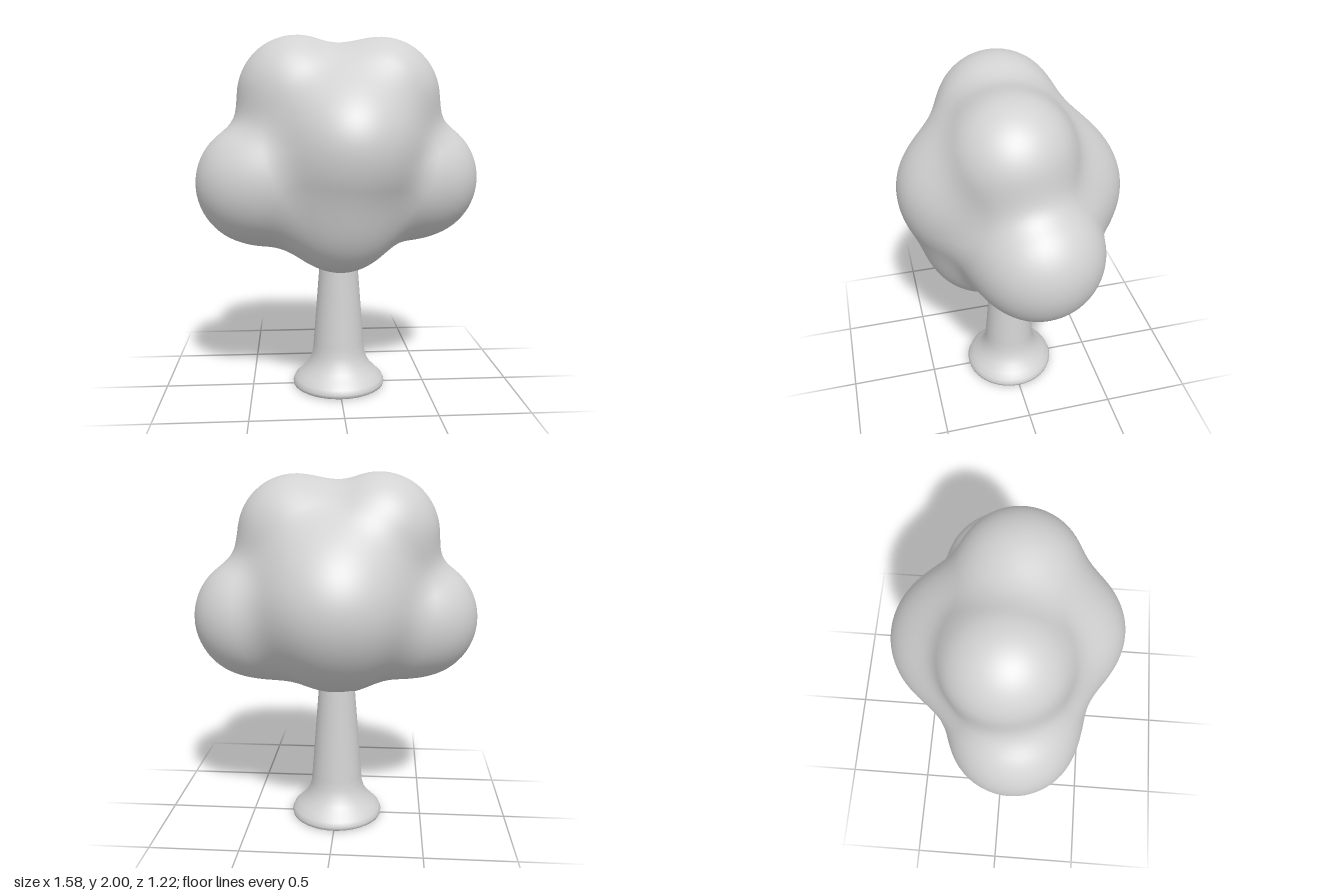
import * as THREE from 'three';

// Crown lobes: x, y, z, radius
const LOBES = [
  // inner mass that fills the valleys
  [0, 1.35, 0, 0.44],
  [0, 1.22, 0.2, 0.32],
  [0, 1.52, 0.13, 0.29],
  [0, 1.5, -0.12, 0.27],
  [0, 1.14, -0.1, 0.325],
  [-0.24, 1.2, 0.08, 0.315],
  [0.24, 1.2, 0.02, 0.315],
  // outer bumps
  [-0.45, 1.195, 0.07, 0.34],
  [0.45, 1.21, -0.035, 0.343],
  [-0.228, 1.667, 0.015, 0.332],
  [0.225, 1.66, 0.05, 0.328],
  [0.05, 1.41, 0.287, 0.32],
  [0, 1.31, -0.225, 0.385],
  [0, 1.0, 0.18, 0.288],
];
const BLEND = 0.15;

// Distance to the softly merged lobes
function crownDistance(p) {
  let d = Infinity;
  for (const [x, y, z, r] of LOBES) {
    const s = Math.hypot(p.x - x, p.y - y, p.z - z) - r;
    const h = d === Infinity ? 0 : Math.max(BLEND - Math.abs(d - s), 0) / BLEND;
    d = Math.min(d, s) - h * h * BLEND * 0.25;
  }
  return d;
}

function crownNormal(p) {
  const e = 0.004;
  const slope = (axis) => {
    const a = p.clone(), b = p.clone();
    a[axis] += e;
    b[axis] -= e;
    return crownDistance(a) - crownDistance(b);
  };
  return new THREE.Vector3(slope('x'), slope('y'), slope('z')).normalize();
}

// Shrink a fine ball inward until it rests on the merged lobes
function crownGeometry() {
  const geometry = new THREE.IcosahedronGeometry(1, 26);
  const { position, normal } = geometry.attributes;
  const center = new THREE.Vector3(0, 1.33, 0.02);
  const dir = new THREE.Vector3(), p = new THREE.Vector3();
  for (let i = 0; i < position.count; i++) {
    dir.fromBufferAttribute(position, i).normalize();
    let t = 1.2;
    for (let step = 0; step < 60; step++) {
      p.copy(center).addScaledVector(dir, t);
      const d = crownDistance(p);
      if (d < 0.0005) break;
      t -= d * 0.9;
    }
    const n = crownNormal(p);
    position.setXYZ(i, p.x, p.y, p.z);
    normal.setXYZ(i, n.x, n.y, n.z);
  }
  return geometry;
}

// Tapered trunk with a flared foot
function trunkGeometry() {
  const profile = [
    [0.25, 0], [0.262, 0.008], [0.265, 0.025], [0.255, 0.05], [0.225, 0.08],
    [0.19, 0.115], [0.165, 0.155], [0.151, 0.2], [0.146, 0.25], [0.107, 0.75], [0.1, 1.0],
  ].map(([r, y]) => new THREE.Vector2(r, y));
  return new THREE.LatheGeometry(profile, 40);
}

export function createModel() {
  const tree = new THREE.Group();
  tree.name = 'tree';
  const grey = new THREE.MeshStandardMaterial({ color: 0xd2d2d2 });
  grey.name = 'light grey';

  const add = (name, geometry) => {
    const mesh = new THREE.Mesh(geometry, grey);
    mesh.name = name;
    tree.add(mesh);
    return mesh;
  };

  add('crown', crownGeometry());
  add('trunk', trunkGeometry()).position.z = 0.005;
  // Flat underside of the foot
  const base = add('trunkBase', new THREE.CircleGeometry(0.25, 40));
  base.rotation.x = Math.PI / 2;
  base.position.z = 0.005;
  return tree;
}
